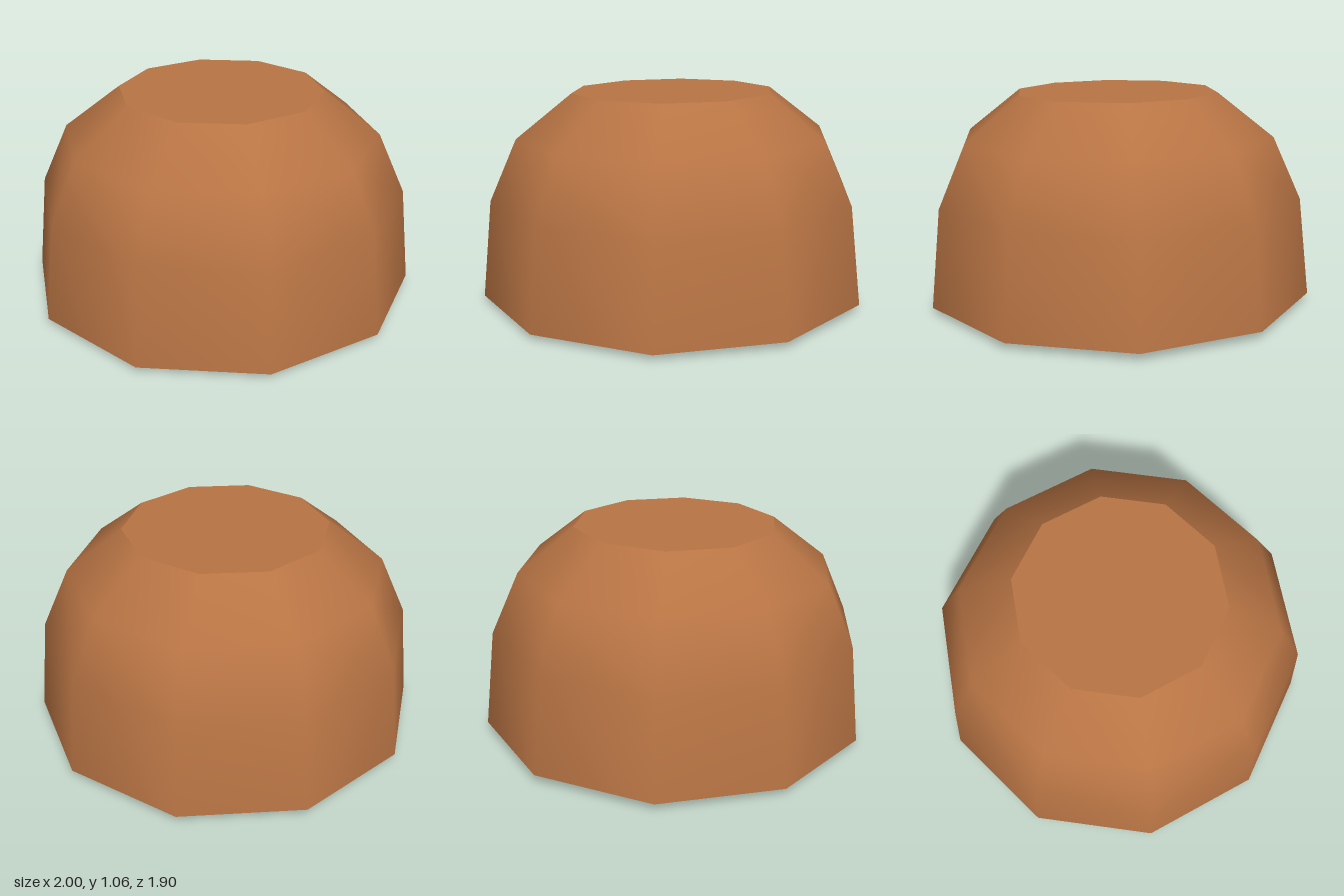
import * as THREE from 'three';

const SIDES = 10;

// Ten-sided ring surface; a corner points along +x. Points run counter-clockwise
// round the solid, so the outside climbs and the inside descends.
function ring(points) {
  const profile = points.map(([r, y]) => new THREE.Vector2(r, y));
  return new THREE.LatheGeometry(profile, SIDES, Math.PI / 2);
}

export function createModel() {
  const mat = (name, color) => {
    const m = new THREE.MeshStandardMaterial({ color });
    m.name = name;
    return m;
  };
  const brown = mat('brown husk', 0xb87444);
  const white = mat('white pith', 0xcfcac4);
  const pink = mat('pink skin', 0xc39a84);
  const olive = mat('olive flesh', 0xb9a850);

  const model = new THREE.Group();
  model.name = 'halvedShell';
  const add = (name, geometry, material) => {
    const mesh = new THREE.Mesh(geometry, material);
    mesh.name = name;
    model.add(mesh);
    return mesh;
  };

  // Outer husk with its flat crown and the cut rim
  add('husk', ring([[1, 0.033], [0.945, 0.53], [0.805, 0.84], [0.52, 1.06]]), brown);
  const crown = add('crown', new THREE.CircleGeometry(0.52, SIDES), brown);
  crown.rotation.x = -Math.PI / 2;
  crown.position.y = 1.06;
  add('rim', ring([[0.935, 0.035], [1, 0.033]]), brown);

  // Layers lining the inside of the husk
  add('pith', ring([[0.895, 0.175], [0.935, 0.035]]), white);
  add('innerSkin', ring([[0.82, 0.4], [0.87, 0.27], [0.895, 0.175]]), pink);

  // Flesh bulging down to a shallow point in the opening
  add('flesh', ring([[0, 0], [0.45, 0.09], [0.79, 0.165], [0.855, 0.225], [0.86, 0.34]]), olive);

  // The shell rests on its point, leaning slightly forward
  model.rotation.x = 0.009;
  const root = new THREE.Group();
  root.add(model);
  return root;
}
